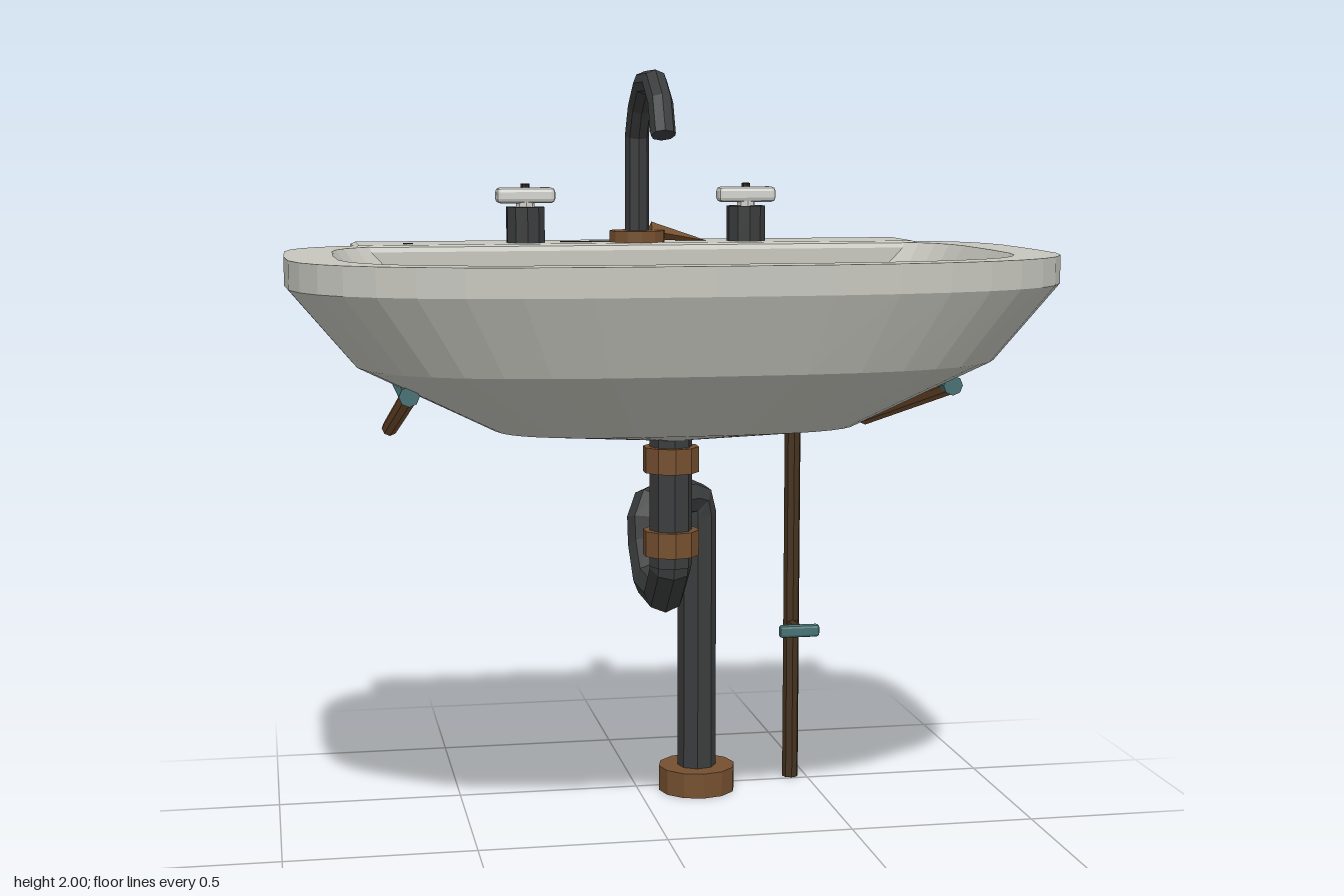
import * as THREE from 'three';
import { RoundedBoxGeometry } from 'three/addons/geometries/RoundedBoxGeometry.js';

const mat = (name, color) => {
  const m = new THREE.MeshStandardMaterial({ color });
  m.name = name;
  return m;
};
const V = (x, y, z) => new THREE.Vector3(x, y, z);

// Polyline path that places one tube ring on every corner
class CornerPath extends THREE.Curve {
  constructor(points) { super(); this.points = points; }
  getPointAt(u) { return this.points[Math.round(u * (this.points.length - 1))].clone(); }
  getTangentAt(u) {
    const p = this.points, n = p.length - 1, i = Math.round(u * n);
    const a = p[Math.max(i, 1)].clone().sub(p[Math.max(i, 1) - 1]).normalize();
    const j = Math.min(i, n - 1);
    return a.add(p[j + 1].clone().sub(p[j]).normalize()).normalize();
  }
}

// Bowl cross-section: rounded outline, squarer toward the wall
function ring([y, a, front, back, nf, nb], count) {
  const cz = (front + back) / 2, d = (front - back) / 2, out = [];
  for (let j = 0; j < count; j++) {
    const t = (j / count) * Math.PI * 2, c = Math.cos(t), s = Math.sin(t);
    const e = 2 / (s >= 0 ? nf : nb);
    out.push([Math.sign(c) * a * Math.abs(c) ** e, y, cz + Math.sign(s) * d * Math.abs(s) ** e]);
  }
  return out;
}

function loft(sections, count) {
  const pos = sections.flatMap((s) => ring(s, count).flat()), index = [];
  for (let i = 0; i < sections.length - 1; i++) {
    for (let j = 0; j < count; j++) {
      const k = (j + 1) % count;
      const a = i * count + j, b = a + count, c = i * count + k, d = c + count;
      index.push(a, b, c, c, b, d);
    }
  }
  const g = new THREE.BufferGeometry();
  g.setAttribute('position', new THREE.Float32BufferAttribute(pos, 3));
  g.setIndex(index);
  return g;
}

export function createModel() {
  const ceramic = mat('ceramic', 0xc6c6be);
  const iron = mat('dark iron', 0x3b3c3d);
  const rust = mat('rusted copper', 0x75502f);
  const oldPipe = mat('dark brown pipe', 0x46331f);
  const teal = mat('teal paint', 0x487174);
  const handleWhite = mat('handle white', 0xd2d2cd);
  const crackDark = mat('crack', 0x2c2520);
  const stain = mat('rust stain', 0x75502f);
  stain.side = THREE.DoubleSide;

  const root = new THREE.Group();
  root.name = 'wallSink';
  const add = (name, geo, material, x = 0, y = 0, z = 0) => {
    const g = geo.index ? geo.toNonIndexed() : geo;
    g.computeVertexNormals();
    const m = new THREE.Mesh(g, material);
    m.name = name;
    m.position.set(x, y, z);
    root.add(m);
    return m;
  };
  const cyl = (name, r, y0, y1, material, x, z, sides = 12) =>
    add(name, new THREE.CylinderGeometry(r, r, y1 - y0, sides), material, x, (y0 + y1) / 2, z);
  const box = (name, w, h, d, material, x, y, z) =>
    add(name, new THREE.BoxGeometry(w, h, d), material, x, y, z);
  const pipe = (name, points, r, material, sides = 8) =>
    add(name, new THREE.TubeGeometry(new CornerPath(points), points.length - 1, r, sides), material);
  const rod = (name, a, b, r, material, sides = 8) => {
    const m = add(name, new THREE.CylinderGeometry(r, r, a.distanceTo(b), sides), material);
    m.position.copy(a).lerp(b, 0.5);
    m.quaternion.setFromUnitVectors(V(0, 1, 0), b.clone().sub(a).normalize());
    return m;
  };

  // Basin shell: up the outside, over the rim, down the inside
  add('basin', loft([
    [1.07, 0.05, 0.09, -0.01, 2, 2],
    [1.11, 0.46, 0.31, -0.2, 3, 3.5],
    [1.28, 0.8, 0.54, -0.44, 3, 4],
    [1.47, 0.96, 0.62, -0.52, 3, 4.5],
    [1.54, 0.96, 0.62, -0.52, 3, 4.5],
    [1.54, 0.84, 0.54, -0.46, 3.4, 4.5],
    [1.46, 0.79, 0.48, -0.43, 3.4, 4.5],
    [1.17, 0.51, 0.34, -0.27, 3.4, 4],
    [1.12, 0.07, 0.105, -0.035, 2, 2],
  ], 40), ceramic);

  // Back deck with chamfered edges
  add('backDeck', new RoundedBoxGeometry(1.55, 0.083, 0.245, 1, 0.018), ceramic, 0, 1.5025, -0.4975);

  // Drain strainer
  const drainZ = 0.035;
  cyl('drainCup', 0.078, 1.1, 1.122, crackDark, 0, drainZ, 20);
  const drainRing = add('drainRing', new THREE.TorusGeometry(0.07, 0.011, 6, 20), iron, 0, 1.126, drainZ);
  drainRing.rotation.x = -Math.PI / 2;
  for (const x of [-0.04, -0.013, 0.013, 0.04])
    box('drainBar', 0.012, 0.012, x * x > 0.001 ? 0.11 : 0.135, iron, x, 1.126, drainZ);

  // Rust streak running to the drain, and a crack on the back wall
  const strip = (name, points, material) => {
    const g = new THREE.BufferGeometry();
    g.setAttribute('position', new THREE.Float32BufferAttribute(points.flat(), 3));
    const index = [];
    for (let i = 0; i + 3 < points.length; i += 2) index.push(i, i + 2, i + 1, i + 1, i + 2, i + 3);
    g.setIndex(index);
    add(name, g, material);
  };
  strip('rustStreak', [
    [-0.16, 1.462, -0.42], [0.16, 1.462, -0.42],
    [-0.1, 1.179, -0.264], [0.1, 1.179, -0.264],
    [-0.025, 1.132, -0.045], [0.025, 1.132, -0.045],
  ], stain);
  strip('wallCrack', [
    [-0.54, 1.42, -0.388], [-0.52, 1.42, -0.392],
    [-0.385, 1.19, -0.255], [-0.373, 1.19, -0.258],
  ], stain);
  box('deckCrack', 0.22, 0.004, 0.006, crackDark, -0.1, 1.545, -0.475);
  box('deckChip', 0.025, 0.004, 0.008, crackDark, -0.625, 1.545, -0.44).rotation.y = 0.2;

  // Faucet
  const fz = -0.467;
  cyl('faucetFlange', 0.076, 1.54, 1.575, rust, 0, fz);
  const spout = [[1.56, fz], [1.83, fz], [1.91, -0.415], [1.968, -0.33], [1.968, -0.19],
    [1.915, -0.106], [1.835, -0.068]].map(([y, z]) => V(0, y, z));
  pipe('spout', spout, 0.033, iron);
  rod('spoutTip', V(0, 1.86, -0.08), V(0, 1.832, -0.067), 0.032, iron);
  const flake = add('rustFlake', new THREE.ConeGeometry(0.025, 0.17, 4), rust, 0.12, 1.558, -0.485);
  flake.rotation.z = -Math.PI / 2 - 0.18;
  flake.rotation.y = 0.1;

  // Tap handles
  for (const s of [-1, 1]) {
    const x = s * 0.305, z = -0.475;
    cyl('tapBase', 0.053, 1.54, 1.64, iron, x, z, 10);
    cyl('tapNeck', 0.025, 1.64, 1.66, handleWhite, x, z, 8);
    add('tapHandle', new RoundedBoxGeometry(0.16, 0.042, 0.055, 1, 0.012), handleWhite, x, 1.671, z);
    cyl('tapButton', 0.012, 1.69, 1.702, crackDark, x, z, 8);
  }

  // Drain pipe, trap and waste pipe
  cyl('tailPipe', 0.055, 0.74, 1.09, iron, 0, 0.04, 8);
  cyl('upperNut', 0.072, 0.985, 1.05, rust, 0, 0.04, 10);
  cyl('lowerNut', 0.072, 0.77, 0.835, rust, 0, 0.04, 10);
  pipe('trap', [
    V(0, 0.78, 0.04), V(0, 0.735, 0.035), V(0, 0.652, -0.055), V(0, 0.652, -0.22),
    V(0, 0.735, -0.305), V(0, 0.8, -0.32), V(0.015, 0.838, -0.335), V(0.045, 0.842, -0.36),
    V(0.125, 0.842, -0.425), V(0.157, 0.83, -0.448), V(0.165, 0.79, -0.453), V(0.165, 0.05, -0.453),
  ], 0.054, iron);
  cyl('floorFlange', 0.108, 0, 0.07, rust, 0.165, -0.453);

  // Supply pipe with stop valve
  cyl('supplyPipe', 0.023, 0, 1.47, oldPipe, 0.455, -0.527, 8);
  rod('valveStem', V(0.455, 0.448, -0.52), V(0.455, 0.448, -0.43), 0.016, oldPipe);
  add('valveHandle', new RoundedBoxGeometry(0.115, 0.035, 0.025, 1, 0.008), teal, 0.455, 0.448, -0.43);

  // Wall brackets and braces
  for (const s of [-1, 1]) {
    const x = s * 0.675;
    add('wallBracket', new RoundedBoxGeometry(0.14, 0.185, 0.075, 1, 0.01), teal, x, 1.37, -0.573);
    rod('supportArm', V(x, 1.215, 0.26), V(x, 1.233, -0.56), 0.025, teal);
    rod('diagonalBrace', V(x, 1.215, 0.25), V(x, 1.035, -0.56), 0.022, rust);
  }
  return root;
}
